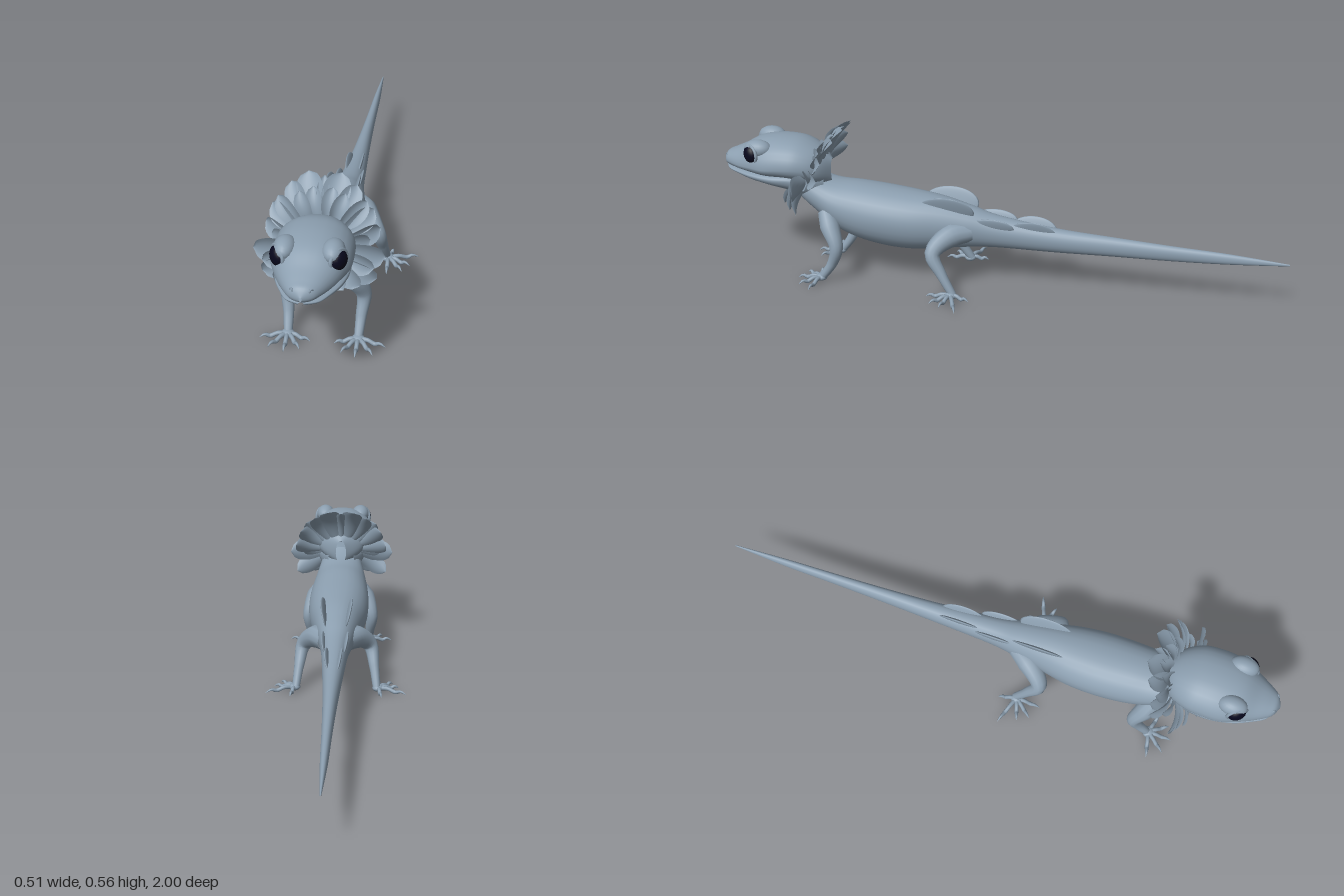
import * as THREE from 'three';

const V = (x, y, z) => new THREE.Vector3(x, y, z);

// Smooth closed skin through sections [z, top, widest height, bottom, half width]
function loft(sections, sides = 28, steps = 5) {
  const n = sections.length, pos = [], idx = [];
  const at = i => sections[Math.min(n - 1, Math.max(0, i))];
  const mix = (a, b, c, d, t) => 0.5 * (2 * b + (c - a) * t + (2 * a - 5 * b + 4 * c - d) * t * t + (3 * b - a - 3 * c + d) * t * t * t);
  const rows = (n - 1) * steps;
  for (let r = 0; r <= rows; r++) {
    const i = Math.min(n - 2, Math.floor(r / steps)), t = r / steps - i;
    const [z, top, mid, bot, w] = at(i).map((_, k) => mix(at(i - 1)[k], at(i)[k], at(i + 1)[k], at(i + 2)[k], t));
    for (let j = 0; j < sides; j++) {
      const a = j / sides * Math.PI * 2, c = Math.cos(a), s = Math.sin(a);
      pos.push(Math.sign(c) * Math.pow(Math.abs(c), 0.9) * w, mid + s * (s > 0 ? top - mid : mid - bot), z);
    }
  }
  for (let r = 0; r < rows; r++) for (let j = 0; j < sides; j++) {
    const a = r * sides + j, b = r * sides + (j + 1) % sides;
    idx.push(a, b, a + sides, b, b + sides, a + sides);
  }
  const g = new THREE.BufferGeometry();
  g.setAttribute('position', new THREE.Float32BufferAttribute(pos, 3));
  g.setIndex(idx);
  g.computeVertexNormals();
  return g;
}

// Tube whose radius follows a list of values along its path
function limb(points, radii, seg = 20, sides = 12) {
  const curve = new THREE.CatmullRomCurve3(points);
  const g = new THREE.TubeGeometry(curve, seg, 1, sides);
  const p = g.attributes.position, v = V();
  for (let i = 0; i < p.count; i++) {
    const u = Math.floor(i / (sides + 1)) / seg, f = u * (radii.length - 1);
    const k = Math.min(radii.length - 2, Math.floor(f));
    const r = THREE.MathUtils.lerp(radii[k], radii[k + 1], f - k);
    const c = curve.getPointAt(u);
    v.fromBufferAttribute(p, i).sub(c).multiplyScalar(r).add(c);
    p.setXYZ(i, v.x, v.y, v.z);
  }
  return g;
}

// Rounded, cupped frill lobe growing from base to tip
function petal(base, tip, width) {
  const g = new THREE.PlaneGeometry(1, 1, 8, 12), p = g.attributes.position;
  const dir = tip.clone().sub(base), len = dir.length();
  dir.normalize();
  const side = dir.clone().cross(V(0, 0, 1)).normalize(), face = side.clone().cross(dir);
  for (let i = 0; i < p.count; i++) {
    const u = p.getX(i) * 2, v = p.getY(i) + 0.5;
    const f = v < 0.62 ? 0.3 + 0.7 * Math.sin(v / 0.62 * Math.PI / 2) : Math.sqrt(Math.max(0, 1 - ((v - 0.62) / 0.38) ** 2));
    const q = base.clone().addScaledVector(dir, len * v).addScaledVector(side, u * f * width / 2)
      .addScaledVector(face, 0.012 * u * u * f + 0.025 * Math.sin(v * Math.PI) * 0.5);
    p.setXYZ(i, q.x, q.y, q.z);
  }
  g.computeVertexNormals();
  return g;
}

export function createModel() {
  const skin = new THREE.MeshStandardMaterial({ color: 0x8c9fb0 });
  const frillSkin = skin.clone();
  skin.name = 'skin';
  frillSkin.name = 'frill skin';
  frillSkin.side = THREE.DoubleSide;
  const eyeBlack = new THREE.MeshStandardMaterial({ color: 0x07071c });
  eyeBlack.name = 'eye black';

  const model = new THREE.Group();
  model.name = 'lizard';
  const add = (name, geo, mat = skin, parent = model) => {
    const m = new THREE.Mesh(geo, mat);
    m.name = name;
    parent.add(m);
    return m;
  };
  const blob = (name, at, size, mat = skin, parent = model) => {
    const m = add(name, new THREE.SphereGeometry(1, 20, 14), mat, parent);
    m.position.copy(at);
    m.scale.set(...size);
    return m;
  };

  // Tail, trunk and neck
  add('bodyAndTail', loft([
    [-1, .183, .18, .177, .002], [-.8, .2, .18, .163, .012], [-.6, .21, .185, .155, .017],
    [-.4, .222, .188, .152, .024], [-.2, .235, .195, .148, .034], [0, .262, .21, .148, .048],
    [.1, .29, .22, .142, .065], [.2, .315, .225, .13, .085], [.3, .328, .23, .12, .105],
    [.4, .338, .24, .125, .112], [.5, .347, .25, .145, .108], [.58, .35, .27, .18, .098],
    [.64, .365, .3, .225, .085], [.7, .4, .33, .275, .07], [.74, .42, .36, .31, .04]]));

  // Skull and lower jaw, meeting at the mouth line
  add('head', loft([
    [.6, .43, .38, .34, .02], [.64, .467, .4, .34, .08], [.7, .495, .415, .35, .112],
    [.76, .503, .415, .36, .12], [.82, .5, .41, .365, .118], [.87, .488, .41, .37, .103],
    [.92, .46, .405, .375, .079], [.96, .442, .405, .38, .056], [.985, .43, .405, .385, .036],
    [1, .408, .402, .396, .004]]));
  add('jaw', loft([
    [.62, .4, .35, .27, .05], [.68, .4, .36, .29, .09], [.74, .4, .37, .312, .108],
    [.8, .395, .37, .33, .11], [.87, .39, .374, .345, .097], [.93, .388, .377, .36, .071],
    [.97, .388, .38, .37, .047], [.992, .388, .384, .379, .008]]));

  // Frill lobes of one side: tip x, y, z and width
  const lobes = [
    [.05, .558, .54, .085], [.1, .53, .56, .07], [.155, .468, .59, .07], [.175, .41, .6, .065],
    [.2, .36, .68, .085], [.175, .28, .68, .07], [.03, .528, .58, .05], [.07, .52, .6, .05],
    [.135, .5, .6, .06], [.15, .39, .64, .07], [.17, .33, .7, .07], [.13, .275, .72, .065],
    [.085, .28, .755, .065]];
  const frill = new THREE.Group();
  frill.name = 'frill';
  model.add(frill);
  add('frillLobe', petal(V(0, .42, .62), V(0, .552, .55), .04), frillSkin, frill);

  for (const s of [1, -1]) {
    for (const [x, y, z, w] of lobes) {
      const a = Math.atan2(y - .37, x);
      const base = V(s * .07 * Math.cos(a), .37 + .06 * Math.sin(a), .66 - .04 * Math.sin(a));
      add('frillLobe', petal(base, V(s * x, y, z), w), frillSkin, frill);
    }

    // Brow, eye, eyelid rim and nostril
    blob('brow', V(s * .07, .472, .845), [.034, .032, .05]);
    const eye = new THREE.Group();
    eye.name = 'eye';
    eye.position.set(s * .087, .456, .867);
    eye.rotation.y = s * .95;
    model.add(eye);
    blob('eyeball', V(0, 0, 0), [.031, .032, .022], eyeBlack, eye);
    add('eyelid', new THREE.TorusGeometry(.033, .006, 8, 28), skin, eye);
    const nostril = add('nostril', new THREE.TorusGeometry(.006, .003, 6, 14));
    nostril.position.set(s * .028, .42, .982);
    nostril.rotation.y = s * .7;

    // Legs: shoulder or hip, bend, ankle
    add('frontLeg', limb(
      [V(s * .065, .25, .61), V(s * .1, .205, .585), V(s * .122, .14, .56), V(s * .116, .075, .58), V(s * .112, .018, .618)],
      [.03, .036, .027, .021, .017, .014]));
    add('hindLeg', limb(
      [V(s * .035, .21, .1), V(s * .075, .205, .16), V(s * .122, .155, .21), V(s * .137, .085, .175), V(s * .147, .018, .135)],
      [.035, .042, .032, .023, .017, .014]));

    // Feet with five clawed toes each: toe tip x, z
    const feet = [
      ['front', .112, .625, [[.038, .645], [.065, .69], [.112, .71], [.165, .692], [.2, .645]]],
      ['hind', .152, .14, [[.155, .228], [.205, .205], [.228, .165], [.255, .102], [.165, .075]]]];
    for (const [name, x, z, toes] of feet) {
      blob(name + 'Palm', V(s * x, .015, z), [.021, .013, .021]);
      for (const [tx, tz] of toes) {
        const along = (t, y) => V(s * (x + (tx - x) * t), y, z + (tz - z) * t);
        add(name + 'Toe', limb(
          [along(0, .014), along(.35, .017), along(.62, .008), along(.8, .014), along(1, .004)],
          [.009, .008, .007, .0075, .005, .0008], 12, 8));
      }
    }

    // Low skin fins over the hips and the root of the tail: z centre, x, y, length, height
    for (const [z, x, y, len, h] of [[.18, .04, .285, .2, .055], [-.12, .014, .215, .17, .05], [.02, .036, .235, .16, .035]]) {
      const fin = blob('backFin', V(s * x, y, z), [.007, h, len / 2]);
      fin.rotation.z = -s * .3;
    }
  }
  return model;
}
